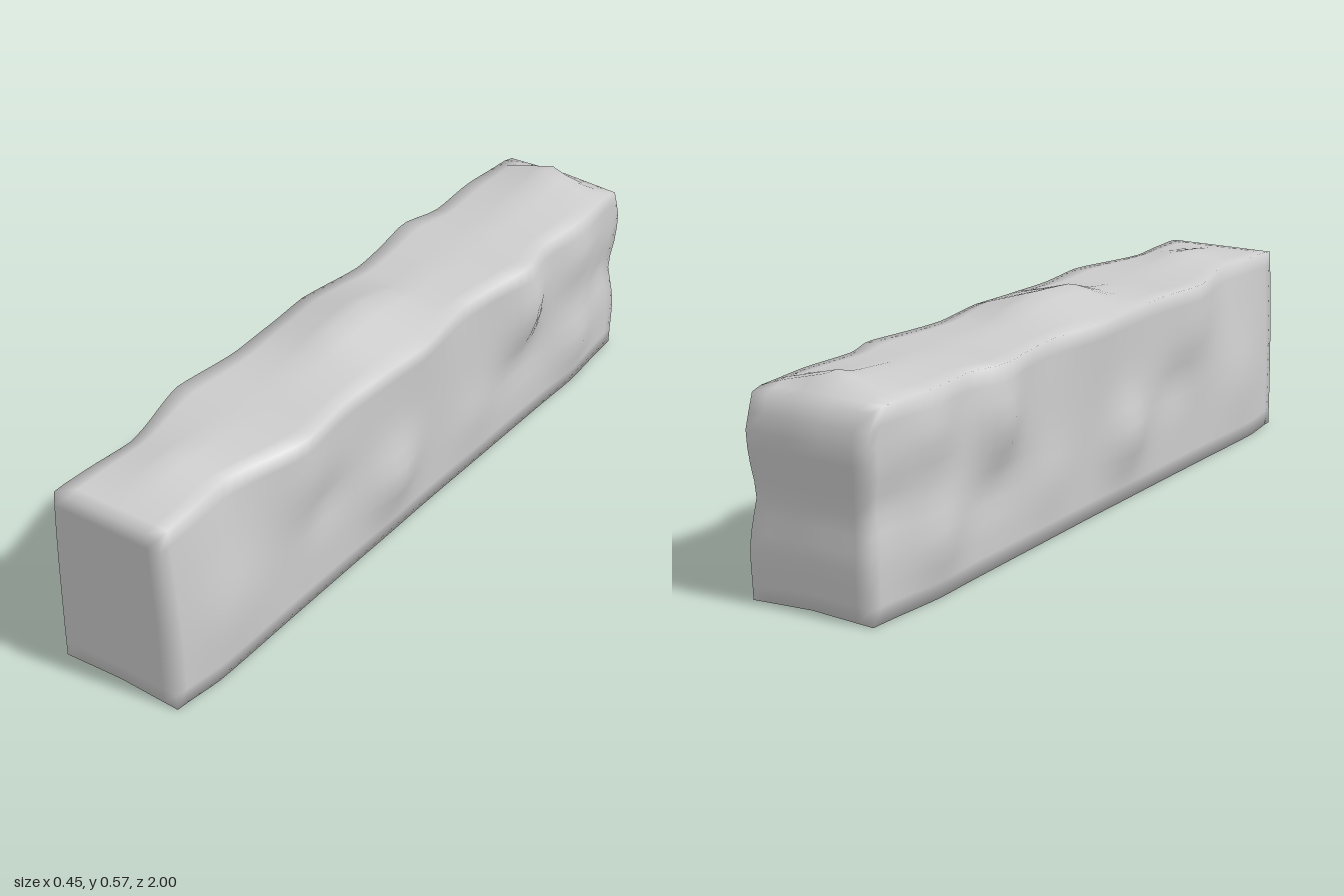
import * as THREE from 'three';
import { mergeVertices } from 'three/addons/utils/BufferGeometryUtils.js';

// Smoothly eased lookup through [position, value] pairs
function profile(points, t) {
  if (t <= points[0][0]) return points[0][1];
  for (let i = 1; i < points.length; i++) {
    const [a, va] = points[i - 1], [b, vb] = points[i];
    if (t <= b) {
      const k = (t - a) / (b - a);
      return va + (vb - va) * (0.5 * k + 0.5 * k * k * (3 - 2 * k));
    }
  }
  return points[points.length - 1][1];
}

// Height of the crest along the wall
const ridge = [[-1, 0.5], [-0.98, 0.505], [-0.92, 0.56], [-0.8, 0.535], [-0.62, 0.522], [-0.45, 0.517],
  [-0.2, 0.522], [-0.1, 0.55], [0, 0.568], [0.13, 0.56], [0.27, 0.525], [0.42, 0.51], [0.6, 0.52], [0.76, 0.534], [1, 0.505]];
// Half-width of the upper and lower edges along the wall
const topWidth = [[-1, 0.17], [-0.8, 0.178], [-0.6, 0.17], [-0.49, 0.195], [-0.22, 0.168], [0, 0.195],
  [0.15, 0.185], [0.3, 0.178], [0.5, 0.195], [0.75, 0.138], [0.9, 0.15], [1, 0.155]];
const footWidth = [[-1, 0.172], [-0.75, 0.187], [0, 0.183], [0.85, 0.187], [1, 0.172]];
// Swellings and hollows on the long sides: z, y, amount, spread in z, spread in y
const lumps = [
  [-0.49, 0.37, 0.035, 0.09, 0.10], [-0.75, 0.14, 0.026, 0.10, 0.09], [-0.76, 0.40, 0.022, 0.10, 0.08],
  [0.13, 0.18, 0.036, 0.10, 0.09], [0.5, 0.38, 0.012, 0.10, 0.09], [0.78, 0.18, 0.012, 0.12, 0.12],
  [-0.5, 0.20, -0.015, 0.12, 0.06], [0.4, 0.25, -0.014, 0.09, 0.06], [-0.95, 0.26, -0.018, 0.08, 0.06],
  [-0.25, 0.15, 0.01, 0.10, 0.08],
];
// Lean of the two ends
const frontEnd = [[0, 0.985], [0.1, 0.987], [0.5, 1]];
const backEnd = [[0, 0.98], [0.12, 0.99], [0.25, 0.978], [0.42, 1], [0.5, 0.975]];

function createWallGeometry() {
  let geometry = new THREE.BoxGeometry(2, 1, 2, 8, 12, 56);
  geometry.deleteAttribute('normal');
  geometry.deleteAttribute('uv');
  geometry = mergeVertices(geometry);
  const pos = geometry.attributes.position;
  for (let i = 0; i < pos.count; i++) {
    const u = pos.getX(i), v = pos.getY(i) + 0.5, w = pos.getZ(i);
    const level = v * 0.5;
    const inner = 1 - Math.abs(u);

    // side walls
    let half = THREE.MathUtils.lerp(profile(footWidth, w), profile(topWidth, w), v * v);
    for (const [z, y, amount, dz, dy] of lumps) {
      half += amount * Math.exp(-(((w - z) / dz) ** 2) - ((level - y) / dy) ** 2);
    }

    // peaked top and slightly hollow base
    const edge = Math.min(0.508, profile(ridge, w));
    const top = edge + (profile(ridge, w) - edge) * inner;
    const y = v * top + (1 - v) * 0.008 * inner;

    // end faces, the back one slightly bowed
    const end = w > 0 ? profile(frontEnd, level) : profile(backEnd, level) - 0.012 * (1 - inner) * v;
    pos.setXYZ(i, u * half, y, w * end);
  }
  geometry.computeVertexNormals();
  return geometry;
}

export function createModel() {
  const model = new THREE.Group();
  model.name = 'stoneWall';
  const wall = new THREE.Mesh(createWallGeometry(), new THREE.MeshStandardMaterial({ color: 0xcccccc }));
  wall.name = 'wallBlock';
  model.add(wall);
  return model;
}
